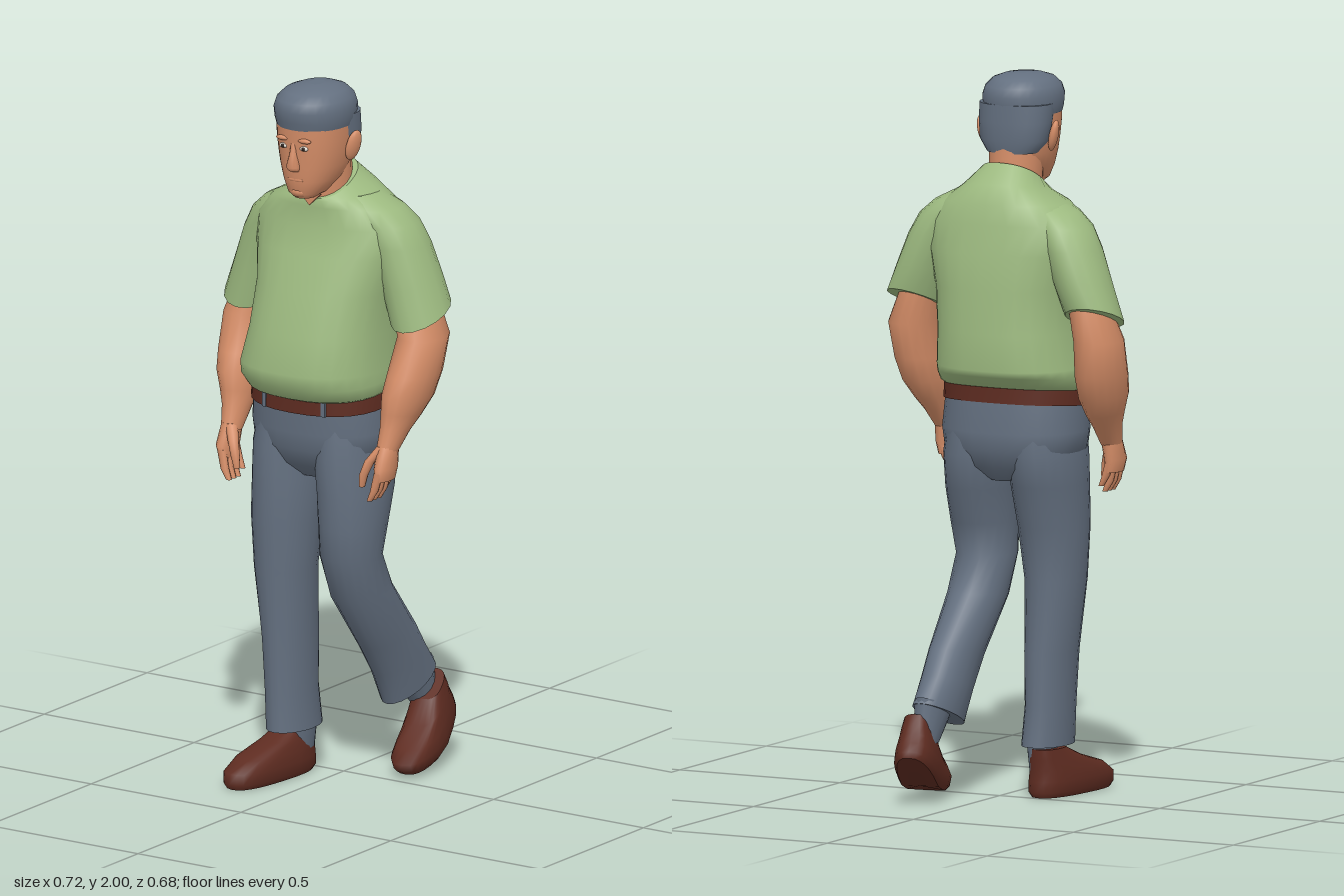
import * as THREE from 'three';

const mat = (name, color) => Object.assign(new THREE.MeshStandardMaterial({ color }), { name });

// Skin over horizontal elliptical rings, listed bottom to top.
// Ring: [y, x, z, radiusX, radiusZ, slope of y along z, slope of y along x]; power > 2 squares the outline.
function loft(rings, sides = 20, power = 2) {
  const pos = [], idx = [];
  const pw = v => Math.sign(v) * Math.abs(v) ** (2 / power);
  const addRing = ([y, x, z, rx, rz, slopeZ = 0, slopeX = 0]) => {
    for (let i = 0; i < sides; i++) {
      const t = (i / sides) * Math.PI * 2, dx = rx * pw(Math.cos(t)), dz = rz * pw(Math.sin(t));
      pos.push(x + dx, y + dz * slopeZ + dx * slopeX, z + dz);
    }
  };
  rings.forEach(addRing);
  for (let r = 0; r < rings.length - 1; r++) {
    for (let i = 0; i < sides; i++) {
      const a = r * sides + i, b = r * sides + (i + 1) % sides;
      idx.push(a, a + sides, b, b, a + sides, b + sides);
    }
  }
  // end caps with their own vertices, so the rims stay sharp
  [rings[0], rings[rings.length - 1]].forEach((ring, top) => {
    const start = pos.length / 3;
    addRing(ring);
    pos.push(ring[1], ring[0], ring[2]);
    for (let i = 0; i < sides; i++) {
      const a = start + i, b = start + (i + 1) % sides, c = start + sides;
      top ? idx.push(a, c, b) : idx.push(a, b, c);
    }
  });
  const g = new THREE.BufferGeometry();
  g.setAttribute('position', new THREE.Float32BufferAttribute(pos, 3));
  g.setIndex(idx);
  g.computeVertexNormals();
  return g;
}

export function createModel() {
  const skin = mat('skin', 0xd68e68), shirt = mat('shirt green', 0x9dba80);
  const grey = mat('slate grey', 0x647080), brown = mat('leather brown', 0x5e2c21);
  const white = mat('eye white', 0xe4ddd2), dark = mat('pupil dark', 0x2a211d);
  const model = new THREE.Group();
  model.name = 'walkingMan';
  const add = (name, geometry, material, parent = model) => {
    const m = new THREE.Mesh(geometry, material);
    m.name = name;
    parent.add(m);
    return m;
  };
  const blob = (name, material, x, y, z, sx, sy, sz) => {
    const m = add(name, new THREE.SphereGeometry(1, 14, 10), material);
    m.position.set(x, y, z);
    m.scale.set(sx, sy, sz);
    return m;
  };

  // Shirt body, with its blouse over the belt and a sloping collar
  add('shirtBody', loft([
    [1.128, -.015, .075, .195, .15, -.1], [1.14, -.015, .075, .21, .175, -.1], [1.17, -.02, .074, .218, .204, -.06],
    [1.2, -.02, .072, .216, .215], [1.3, -.012, .063, .203, .202], [1.42, -.007, .05, .203, .181],
    [1.52, -.007, .035, .225, .156], [1.6, -.008, .032, .232, .132], [1.655, -.005, .036, .178, .129],
    [1.69, 0, .05, .118, .112, -.15], [1.72, -.003, .077, .08, .084, -.5],
  ], 28, 2.4), shirt);
  const vee = new THREE.Shape([new THREE.Vector2(-.036, 1.695), new THREE.Vector2(0, 1.66), new THREE.Vector2(.036, 1.695)]);
  add('openNeck', new THREE.ExtrudeGeometry(vee, { depth: .008, bevelEnabled: false }), skin).position.z = .161;

  // Belt and loops
  add('belt', loft([[1.092, -.015, .075, .207, .162, -.08], [1.135, -.015, .075, .205, .162, -.08]], 28, 2.3), brown);
  for (const x of [-.11, .085]) {
    const z = .075 + .162 * (1 - Math.abs((x + .015) / .206) ** 2.3) ** (1 / 2.3);
    add('beltLoop', new THREE.BoxGeometry(.012, .04, .009), grey).position.set(x, 1.1, z);
  }

  // Trousers: hips, planted leg and trailing leg
  add('hips', loft([
    [.88, -.015, .065, .06, .09], [.92, -.015, .067, .16, .13], [.97, -.015, .068, .202, .153],
    [1.02, -.015, .068, .208, .16], [1.115, -.015, .075, .2, .157, -.08],
  ], 28, 2.3), grey);
  add('frontTrouserLeg', loft([
    [.14, -.1, .095, .064, .102], [.25, -.105, .1, .062, .096], [.4, -.108, .102, .068, .099], [.6, -.117, .11, .083, .1],
    [.75, -.113, .106, .096, .115], [.87, -.113, .083, .1, .137], [.96, -.113, .072, .1, .147], [1.06, -.105, .07, .09, .138],
  ]), grey);
  add('rearTrouserLeg', loft([
    [.24, .107, -.157, .06, .103, -.42], [.32, .105, -.11, .064, .095, -.35], [.4, .107, -.052, .067, .103, -.2],
    [.55, .1, .06, .08, .1, -.1], [.66, .093, .1, .084, .093], [.75, .1, .1, .09, .11],
    [.85, .093, .078, .095, .133], [.95, .088, .07, .098, .149], [1.06, .08, .07, .09, .138],
  ]), grey);

  // Socks and shoes; the rear shoe bends at the ball
  add('frontSock', loft([[.07, -.105, .06, .036, .05], [.18, -.1, .065, .045, .06]], 14), grey);
  add('rearSock', loft([[.17, .11, -.225, .034, .045], [.27, .107, -.185, .045, .07, -.42]], 14), grey);
  const shoe = (name, bend) => {
    const g = loft([
      [0, 0, 0, .052, .162], [.015, 0, 0, .062, .171], [.045, 0, 0, .064, .168],
      [.075, 0, -.022, .058, .143], [.105, 0, -.075, .048, .092], [.135, 0, -.11, .039, .056],
    ], 24, 2.6);
    const p = g.attributes.position;
    for (let i = 0; i < p.count; i++) p.setY(i, p.getY(i) + bend * Math.max(0, p.getZ(i) - .02));
    g.computeVertexNormals();
    const m = add(name, g, brown);
    m.rotation.order = 'YXZ';
    return m;
  };
  const front = shoe('frontShoe', 0);
  front.position.set(-.132, 0, .168);
  front.rotation.y = -.11;
  const rear = shoe('rearShoe', .5);
  rear.position.set(.135, .046, -.212);
  rear.rotation.set(.63, .25, 0);

  // Arms: sleeve, forearm, palm, fingers and thumb on each side
  for (const s of [1, -1]) {
    const arm = new THREE.Group();
    arm.name = s > 0 ? 'leftArm' : 'rightArm';
    if (s < 0) arm.position.set(-.017, -.015, 0);
    model.add(arm);
    const limb = (name, rings, material, sides = 16) =>
      add(name, loft(rings.map(([y, x, z, rx, rz, slopeZ = 0, slopeX = 0]) =>
        [y, s * x, z, rx, rz, slopeZ, s * slopeX]), sides), material, arm);
    limb('sleeve', [
      [1.36, .27, .018, .08, .09, -.42, .1], [1.45, .238, .015, .08, .094, -.15, .05], [1.55, .202, .018, .08, .095],
      [1.61, .17, .025, .08, .093], [1.65, .13, .032, .075, .086], [1.685, .075, .04, .06, .07],
    ], shirt);
    limb('forearm', [
      [.99, .25, .155, .028, .035], [1.05, .255, .122, .038, .05, .15], [1.09, .26, .1, .05, .068, .15], [1.14, .267, .077, .063, .09, .1],
      [1.2, .273, .052, .067, .096], [1.3, .281, .022, .066, .086], [1.41, .25, .015, .052, .07],
    ], skin);
    limb('palm', [[.915, .252, .167, .02, .041], [.95, .255, .167, .026, .046], [1.01, .251, .15, .028, .035]], skin);
    for (let f = 0; f < 4; f++) {
      const z = .134 + f * .022, end = .858 + (f === 0 ? .018 : 0);
      limb('finger', [[end, .226, z + .004, .008, .008], [end + .03, .241, z + .003, .012, .0115], [.94, .253, z, .014, .012]], skin, 8);
    }
    limb('thumb', [[.895, .2, .203, .009, .009], [.93, .206, .203, .013, .013], [.97, .22, .193, .015, .016], [1.01, .245, .165, .016, .021]], skin, 8);
  }

  // Neck and head
  const cx = -.007;
  add('neck', loft([[1.62, 0, .07, .068, .075], [1.7, -.005, .082, .073, .08], [1.8, cx, .087, .076, .08]]), skin);
  add('head', loft([
    [1.688, cx, .175, .028, .034], [1.703, cx, .163, .05, .06], [1.74, cx, .137, .074, .092], [1.78, cx, .126, .088, .107],
    [1.82, cx, .125, .095, .111], [1.86, cx, .125, .099, .115], [1.91, cx, .125, .101, .117],
  ], 28, 2.2), skin);

  // Hair: crown and the shorter back behind the ears
  add('hairCrown', loft([
    [1.89, cx, .125, .102, .117], [1.91, cx, .125, .107, .122], [1.94, cx, .126, .108, .127],
    [1.965, cx, .126, .1, .119], [1.985, cx, .125, .08, .097], [1.995, cx, .122, .053, .066], [2, cx, .12, .02, .026],
  ], 28, 2.1), grey);
  add('hairBack', loft([
    [1.785, cx, .066, .075, .056], [1.82, cx, .074, .1, .072], [1.87, cx, .08, .105, .079], [1.92, cx, .09, .106, .088],
  ], 28, 2.2), grey);

  // Face
  add('nose', loft([
    [1.772, cx, .232, .016, .012], [1.784, cx, .236, .02, .02], [1.82, cx, .232, .011, .016], [1.855, cx, .23, .009, .009],
  ], 12), skin);
  blob('mouth', skin, cx, 1.745, .224, .027, .007, .006);
  blob('chin', skin, cx, 1.708, .203, .03, .018, .024);
  for (const s of [1, -1]) {
    blob('ear', skin, cx + s * .108, 1.832, .1, .013, .045, .024).rotation.set(-.15, -s * .3, -s * .25);
    blob('eye', white, cx + s * .034, 1.84, .233, .014, .007, .006);
    blob('pupil', dark, cx + s * .034, 1.84, .2375, .0055, .006, .003);
    blob('brow', skin, cx + s * .036, 1.862, .234, .022, .007, .008);
  }
  return model;
}
